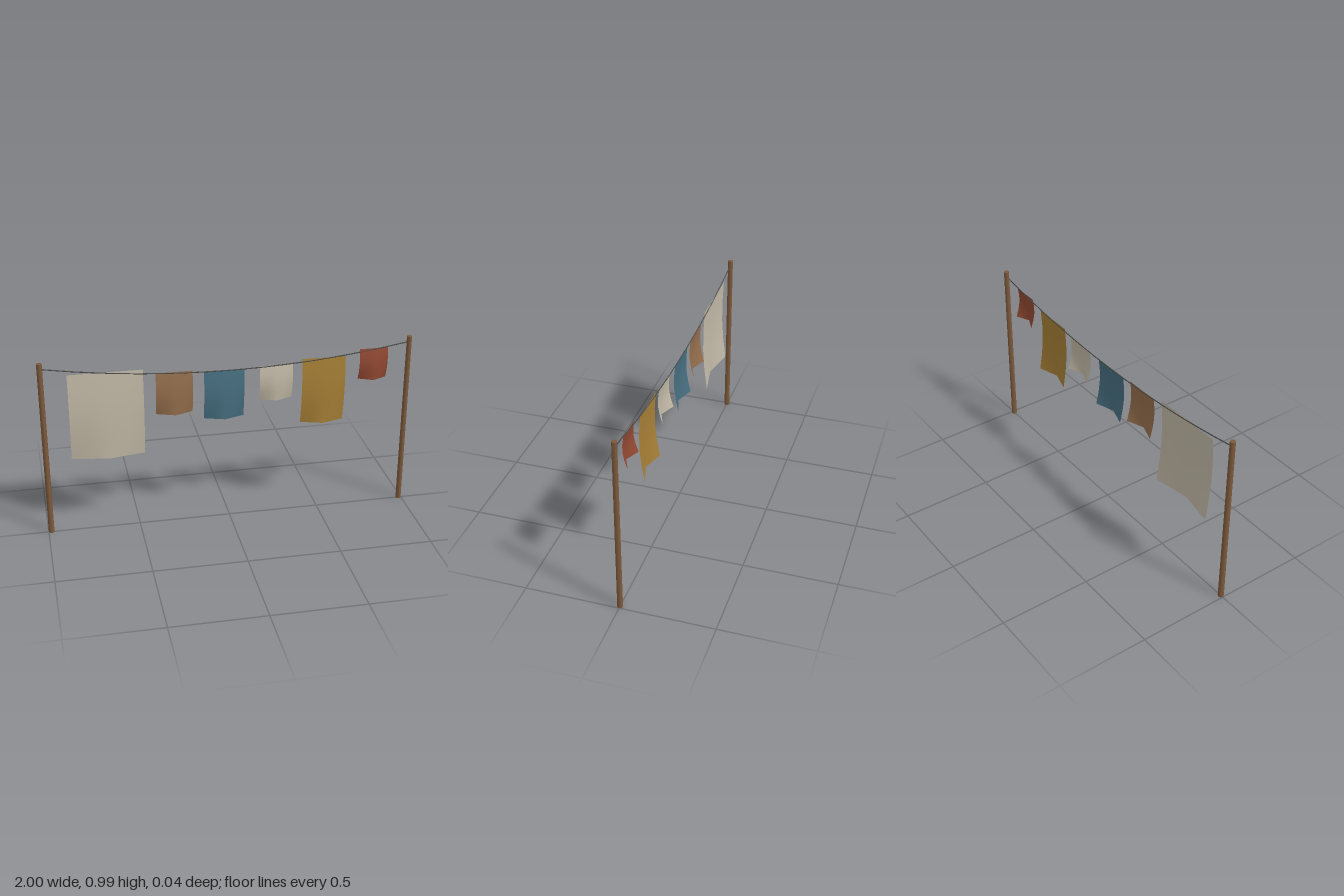
import * as THREE from 'three';

const mat = (name, color, side = THREE.FrontSide) => {
  const m = new THREE.MeshStandardMaterial({ color, side });
  m.name = name;
  return m;
};

// Hanging cloth: pinned flat along the top, rippling more toward the hem
function clothGeometry(width, height) {
  const geo = new THREE.PlaneGeometry(width, height, 4, 4);
  const pos = geo.attributes.position;
  for (let i = 0; i < pos.count; i++) {
    const u = pos.getX(i) / width + 0.5;
    const v = 0.5 - pos.getY(i) / height;
    const ripple = -Math.cos(u * Math.PI * 2) * v * v;
    const belly = 0.6 * Math.sin(v * Math.PI);
    pos.setZ(i, 0.018 * (ripple + belly));
  }
  geo.computeVertexNormals();
  return geo;
}

export function createModel() {
  const group = new THREE.Group();
  group.name = 'clothesline';

  const wood = mat('wood', 0x7d5a3c);
  const cord = mat('cord', 0x4a4a48);
  const cream = mat('cream cloth', 0xc4bba8, THREE.DoubleSide);
  const brown = mat('brown cloth', 0x96704e, THREE.DoubleSide);
  const blue = mat('blue cloth', 0x487082, THREE.DoubleSide);
  const ochre = mat('ochre cloth', 0xa98137, THREE.DoubleSide);
  const red = mat('red cloth', 0x944a33, THREE.DoubleSide);

  // Poles at both ends
  for (const side of [-1, 1]) {
    const pole = new THREE.Mesh(new THREE.CylinderGeometry(0.0145, 0.0155, 0.987, 8), wood);
    pole.name = side < 0 ? 'rightPole' : 'leftPole';
    pole.position.set(side * 0.9848, 0.4935, 0);
    group.add(pole);
  }

  // Sagging rope
  const points = [];
  for (let i = 0; i <= 12; i++) {
    const x = -0.985 + (1.97 * i) / 12;
    points.push(new THREE.Vector3(x, 0.87 + 0.089 * x * x, 0));
  }
  const rope = new THREE.Mesh(
    new THREE.TubeGeometry(new THREE.CatmullRomCurve3(points), 32, 0.003, 6), cord);
  rope.name = 'rope';
  group.add(rope);

  // Laundry: name, material, x from, x to, bottom, top
  const laundry = [
    ['sheet', cream, -0.85, -0.457, 0.422, 0.912],
    ['brownCloth', brown, -0.392, -0.196, 0.643, 0.884],
    ['blueCloth', blue, -0.136, 0.08, 0.595, 0.873],
    ['creamCloth', cream, 0.165, 0.344, 0.68, 0.878],
    ['ochreCloth', ochre, 0.396, 0.634, 0.523, 0.9],
    ['redCloth', red, 0.712, 0.868, 0.754, 0.932],
  ];
  for (const [name, material, x0, x1, y0, y1] of laundry) {
    const cloth = new THREE.Mesh(clothGeometry(x1 - x0, y1 - y0), material);
    cloth.name = name;
    cloth.position.set((x0 + x1) / 2, (y0 + y1) / 2, 0);
    group.add(cloth);
  }
  return group;
}
